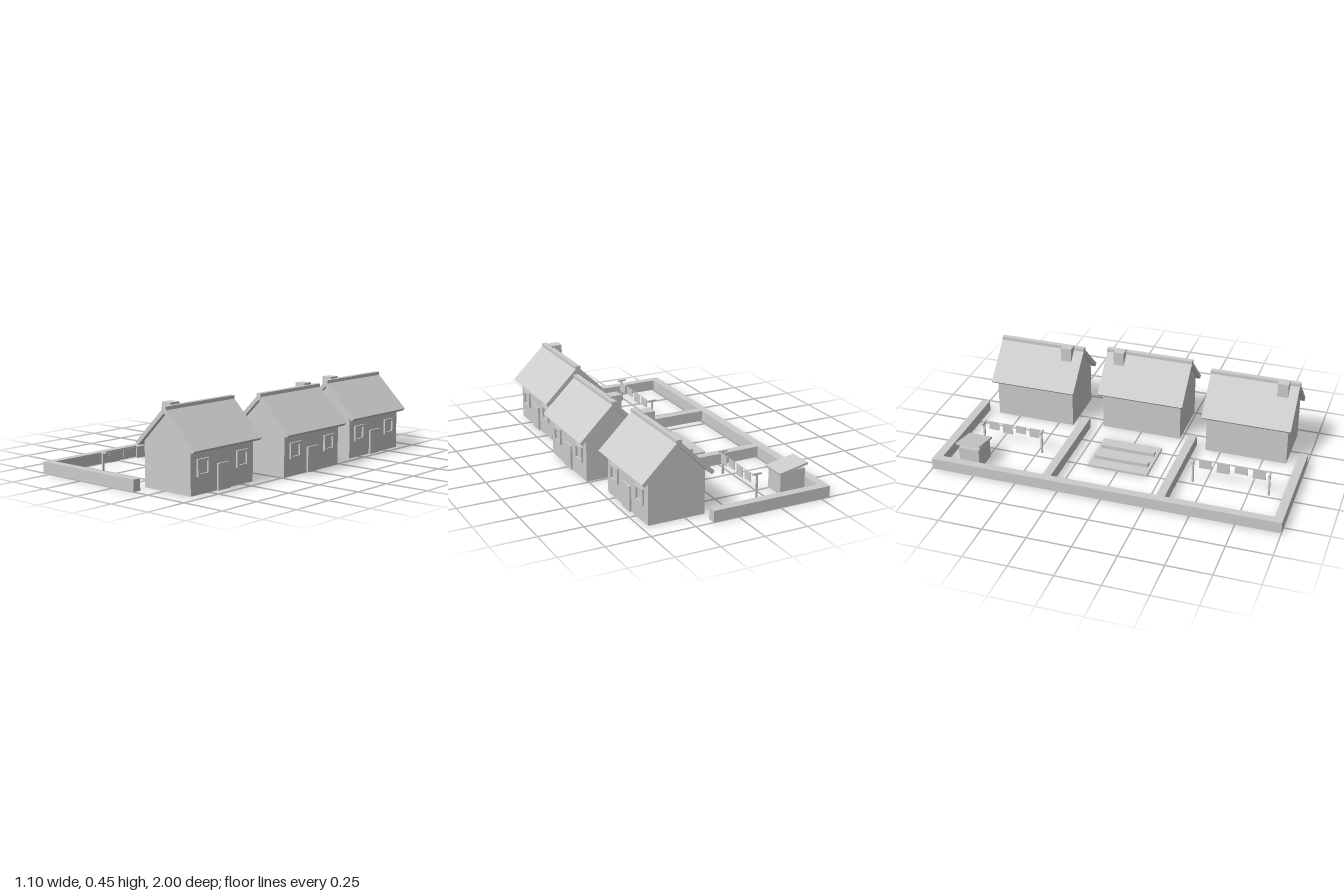
import * as THREE from 'three';

const clay = new THREE.MeshStandardMaterial({ color: 0xcccccc });
clay.name = 'plain grey';

function add(parent, name, geometry) {
  const mesh = new THREE.Mesh(geometry, clay);
  mesh.name = name;
  parent.add(mesh);
  return mesh;
}

// Box given by its min and max on each axis
function box(parent, name, [x0, x1], [y0, y1], [z0, z1]) {
  const mesh = add(parent, name, new THREE.BoxGeometry(x1 - x0, y1 - y0, z1 - z0));
  mesh.position.set((x0 + x1) / 2, (y0 + y1) / 2, (z0 + z1) / 2);
  return mesh;
}

// Outline extruded along z, centred on z = 0
function prism(points, depth) {
  const shape = new THREE.Shape(points.map(([x, y]) => new THREE.Vector2(x, y)));
  return new THREE.ExtrudeGeometry(shape, { depth, bevelEnabled: false }).translate(0, 0, -depth / 2);
}

// Square window frame standing out from a wall that faces +x
function windowFrame(parent, x, z) {
  const w = 0.045, i = 0.031;
  const shape = new THREE.Shape([[-w, -w], [w, -w], [w, w], [-w, w]].map(p => new THREE.Vector2(...p)));
  shape.holes.push(new THREE.Path([[-i, -i], [-i, i], [i, i], [i, -i]].map(p => new THREE.Vector2(...p))));
  const geometry = new THREE.ExtrudeGeometry(shape, { depth: 0.011, bevelEnabled: false });
  const frame = add(parent, 'windowFrame', geometry.rotateY(Math.PI / 2));
  frame.position.set(x, 0.138, z);
}

function cottage(x, z, chimneyZ) {
  const house = new THREE.Group();
  house.name = 'cottage';
  house.position.set(x, 0, z);
  const w = 0.161;
  add(house, 'walls', prism([[-w, 0], [w, 0], [w, 0.245], [0, 0.405], [-w, 0.245]], 0.473));
  add(house, 'roof', prism([
    [-0.189, 0.221], [0, 0.406], [0.189, 0.221], [0.206, 0.236], [0, 0.437], [-0.206, 0.236],
  ], 0.515));
  box(house, 'ridgeCap', [-0.015, 0.015], [0.41, 0.441], [-0.259, 0.259]);
  box(house, 'chimney', [-0.067, -0.005], [0.33, 0.452], [chimneyZ - 0.031, chimneyZ + 0.031]);
  box(house, 'door', [w - 0.005, w + 0.011], [0, 0.14], [-0.044, 0.044]);
  for (const side of [-1, 1]) windowFrame(house, w, side * 0.148);
  return house;
}

function clothesLine(x, z0, z1) {
  const line = new THREE.Group();
  line.name = 'clothesLine';
  line.position.x = x;
  // Posts with crossbars
  for (const z of [z0, z1]) {
    box(line, 'post', [-0.005, 0.005], [0, 0.132], [z - 0.005, z + 0.005]);
    box(line, 'crossbar', [-0.027, 0.027], [0.13, 0.139], [z - 0.005, z + 0.005]);
  }
  box(line, 'cord', [0.021, 0.024], [0.133, 0.136], [z0, z1]);
  // Hanging laundry
  const span = z1 - z0;
  [0.05, 0.06, 0.045, 0.055].forEach((drop, i) => {
    const z = z0 + span * (0.15 + 0.235 * i);
    box(line, 'laundry', [0.021, 0.024], [0.134 - drop, 0.134], [z - span * 0.085, z + span * 0.085]);
  });
  return line;
}

export function createModel() {
  const model = new THREE.Group();
  model.name = 'cottageRow';

  model.add(cottage(0.275, 0.648, 0.172), cottage(0.345, 0, -0.172), cottage(0.298, -0.648, 0.167));

  // Garden walls
  box(model, 'backGardenWall', [-0.552, -0.505], [0, 0.064], [-1, 1]);
  for (const z of [-0.976, -0.328, 0.326, 0.976]) {
    box(model, 'gardenWall', [-0.505, 0.147], [0, 0.064], [z - 0.024, z + 0.024]);
  }

  // Shed with a sloping lid
  const shed = new THREE.Group();
  shed.name = 'shed';
  box(shed, 'shedBody', [-0.486, -0.334], [0, 0.128], [-0.86, -0.74]);
  const lid = box(shed, 'shedRoof', [-0.497, -0.322], [0.132, 0.144], [-0.87, -0.73]);
  lid.rotation.z = -0.2;
  model.add(shed);

  model.add(clothesLine(-0.205, -0.83, -0.475), clothesLine(-0.228, 0.43, 0.86));

  // Vegetable patch with two raised beds
  box(model, 'patch', [-0.262, 0.031], [0, 0.014], [-0.177, 0.174]);
  for (const x of [-0.173, -0.056]) {
    box(model, 'raisedBed', [x - 0.018, x + 0.018], [0.01, 0.036], [-0.16, 0.157]);
  }
  return model;
}
